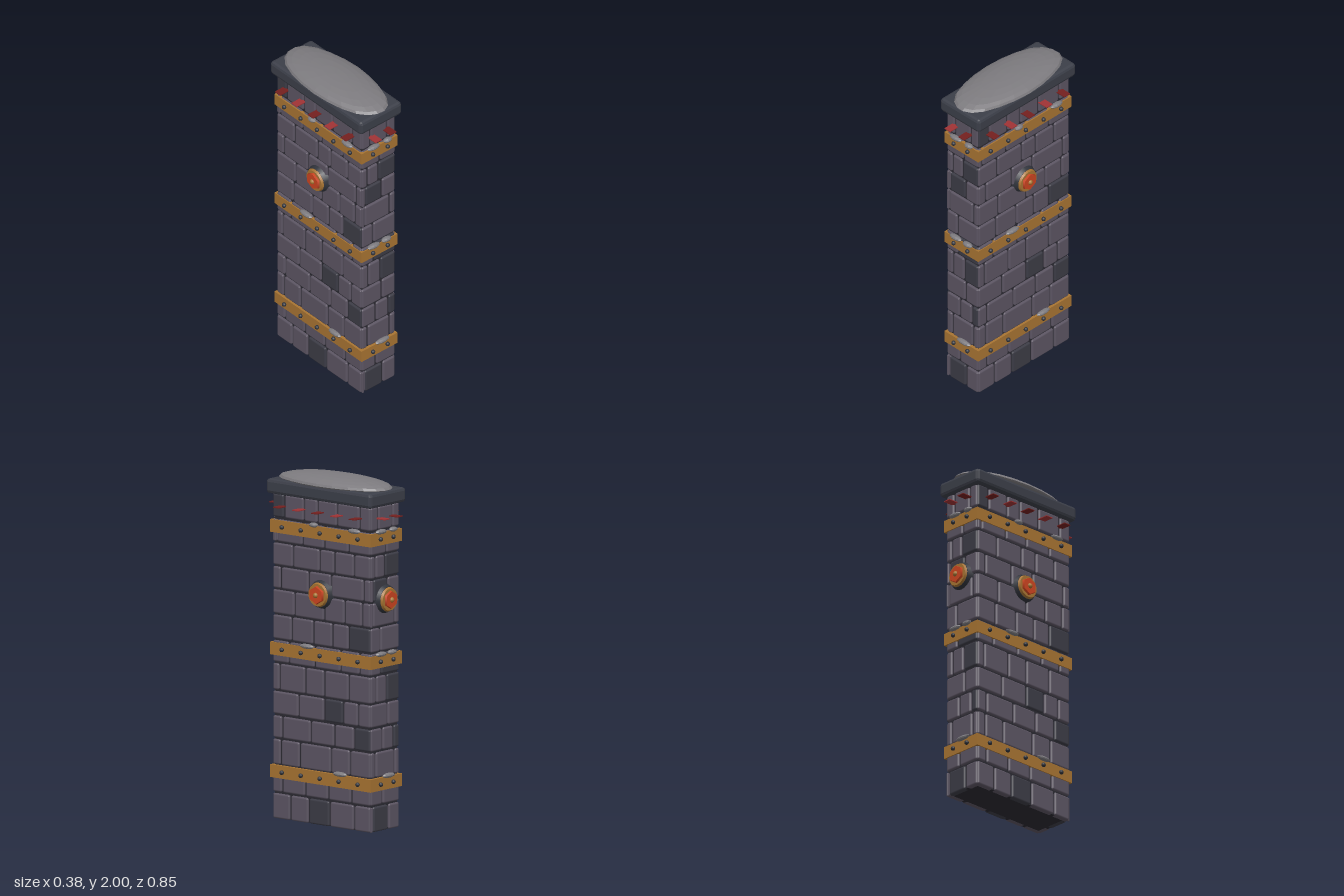
import * as THREE from 'three';
import { RoundedBoxGeometry } from 'three/addons/geometries/RoundedBoxGeometry.js';

const mat = (name, color, flat = false) => {
  const m = new THREE.MeshStandardMaterial({ color, flatShading: flat });
  m.name = name;
  return m;
};

export function createModel() {
  const M = {
    stone: mat('purple grey stone', 0x5c5563),
    darkStone: mat('dark stone', 0x3c3c46),
    mortar: mat('mortar', 0x2b2a32),
    slab: mat('slate cap', 0x3c3f49, true),
    dome: mat('pale grey rock', 0x7d7b7f, true),
    brass: mat('brass', 0xa87432),
    iron: mat('iron', 0x31343c),
    red: mat('bright red', 0xa03335),
    darkRed: mat('dark red', 0x74201f),
    orange: mat('orange red', 0xcc4420),
  };
  const model = new THREE.Group();
  const add = (parent, name, geo, material, x = 0, y = 0, z = 0) => {
    const mesh = new THREE.Mesh(geo, material);
    mesh.name = name;
    mesh.position.set(x, y, z);
    parent.add(mesh);
    return mesh;
  };

  // Bottom and top of every course of stones
  const rows = [
    [0, 0.143], [0.153, 0.3], [0.31, 0.453], [0.463, 0.588], [0.6, 0.728], [0.738, 0.888], [0.898, 1.02],
    [1.03, 1.165], [1.175, 1.31], [1.32, 1.443], [1.453, 1.578], [1.588, 1.715], [1.728, 1.86],
  ];
  // Upright seams per course, then the index of the dark stone (-1 for none)
  const longSeams = [
    [[-.23, -.095, .06, .24], 2], [[-.29, -.12, .05, .22], -1], [[-.30, -.16, .07, .21], -1],
    [[-.29, -.08, .095, .24], 4], [[-.17, .02, .16, .27], 2], [[-.31, -.12, .02, .20], -1],
    [[-.24, -.05, .14, .28], -1], [[-.22, -.06, .08, .20], 4], [[-.20, .02, .17, .30], -1],
    [[-.30, -.095, .07, .31], -1], [[-.21, -.015, .095, .24], -1], [[-.33, -.14, .02, .20], -1],
    [[-.275, -.13, -.03, .115, .28], 0],
  ];
  const shortSeams = [
    [[-.105, .03], 1], [[-.02], -1], [[-.08, .085], -1], [[-.02, .075], 2], [[.025], -1],
    [[-.075, .015], 2], [[-.035], 1], [[-.04], -1], [[-.105, .085], -1], [[-.1, .025], 1],
    [[-.08, 0], 2], [[.01], -1], [[-.06, .065], -1],
  ];
  const bandHeights = [0.27, 0.973, 1.675];

  // Mortar core
  add(model, 'mortarCore', new THREE.BoxGeometry(0.234, 1.868, 0.704), M.mortar, 0, 0.936, 0);

  const stud = new THREE.SphereGeometry(0.013, 10, 8);
  const lump = new THREE.SphereGeometry(1, 10, 6);
  const spike = new THREE.BoxGeometry(0.046, 0.005, 0.07);

  // Round boss with a hexagonal centre, facing +z
  function makeBoss(face) {
    const g = new THREE.Group();
    g.name = 'boss';
    const disc = (name, rOuter, rBase, from, to, sides, m) => {
      const geo = new THREE.CylinderGeometry(rOuter, rBase, to - from, sides);
      geo.rotateX(Math.PI / 2);
      if (sides === 6) geo.rotateZ(Math.PI);
      add(g, name, geo, m, 0, 0, face + (from + to) / 2);
    };
    disc('bossBase', 0.072, 0.087, -0.012, 0.022, 20, M.iron);
    disc('bossRing', 0.064, 0.07, 0.022, 0.035, 20, M.brass);
    disc('bossHexagon', 0.05, 0.053, 0.035, 0.048, 6, M.orange);
    add(g, 'bossKnob', new THREE.SphereGeometry(0.016, 12, 8), M.brass, 0, 0, face + 0.046);
    g.position.y = 1.325;
    return g;
  }

  // One wall face, built facing +z and then turned into place
  function makeFace(name, angle, o) {
    const g = new THREE.Group();
    g.name = name;
    rows.forEach(([y0, y1], r) => {
      const [seams, dark] = o.seams[r];
      const edges = [-o.half, ...seams, o.half];
      for (let i = 0; i < edges.length - 1; i++) {
        const a = edges[i] + (i ? 0.005 : 0);
        const b = edges[i + 1] - (i < edges.length - 2 ? 0.005 : 0);
        const geo = new RoundedBoxGeometry(b - a, y1 - y0, 0.04, 1, Math.min(0.011, (b - a) / 3));
        add(g, 'stone', geo, i === dark ? M.darkStone : M.stone, (a + b) / 2, (y0 + y1) / 2, o.face - 0.02);
      }
    });
    bandHeights.forEach((y, i) => {
      for (const u of o.studs) add(g, 'bandStud', stud, M.iron, u, y, o.face + 0.013);
      for (const [u, w] of o.lumps[i]) {
        const m = add(g, 'rockLump', lump, M.dome, u, y + 0.042, o.face + 0.006);
        m.scale.set(w, 0.014, 0.02);
      }
    });
    o.studs.forEach((u, i) => {
      add(g, 'spike', spike, i % 2 === o.brightAt ? M.red : M.darkRed, u, 1.795, o.face + 0.027);
    });
    if (o.boss) g.add(makeBoss(o.face));
    g.rotation.y = angle;
    model.add(g);
  }

  const long = {
    seams: longSeams, half: 0.358, face: 0.13, studs: [-0.28, -0.14, 0, 0.14, 0.28], brightAt: 1, boss: true,
    lumps: [[[0.145, 0.05]], [[-0.1, 0.05]], [[0.25, 0.045], [-0.05, 0.03]]],
  };
  const short = {
    seams: shortSeams, half: 0.122, face: 0.365, studs: [-0.055, 0.055], brightAt: 0,
    lumps: [[[0.02, 0.052]], [[-0.045, 0.045], [0.05, 0.035]], [[-0.045, 0.045], [0.06, 0.03]]],
  };
  makeFace('frontFace', 0, short);
  makeFace('rightFace', Math.PI / 2, long);
  makeFace('backFace', Math.PI, { ...short, boss: true });
  makeFace('leftFace', -Math.PI / 2, long);

  // Brass bands around the wall
  for (const y of bandHeights) {
    add(model, 'brassBand', new THREE.BoxGeometry(0.27, 0.073, 0.742), M.brass, 0, y, 0);
  }

  // Chamfered cap slab
  add(model, 'capSlab', new RoundedBoxGeometry(0.312, 0.085, 0.776, 1, 0.018), M.slab, 0, 1.903, 0);

  // Flattened rock on top, with a slightly uneven surface
  const dome = new THREE.SphereGeometry(1, 22, 12);
  const p = dome.attributes.position;
  for (let i = 0; i < p.count; i++) {
    const x = p.getX(i), y = p.getY(i), z = p.getZ(i);
    const k = 1 + 0.02 * Math.sin(5 * x + 2) * Math.cos(4 * z);
    p.setXYZ(i, x * 0.172 * k, y * (y > 0 ? 0.05 : 0.025), z * 0.392 * k);
  }
  dome.computeVertexNormals();
  add(model, 'topRock', dome, M.dome, 0, 1.95, 0);

  return model;
}
